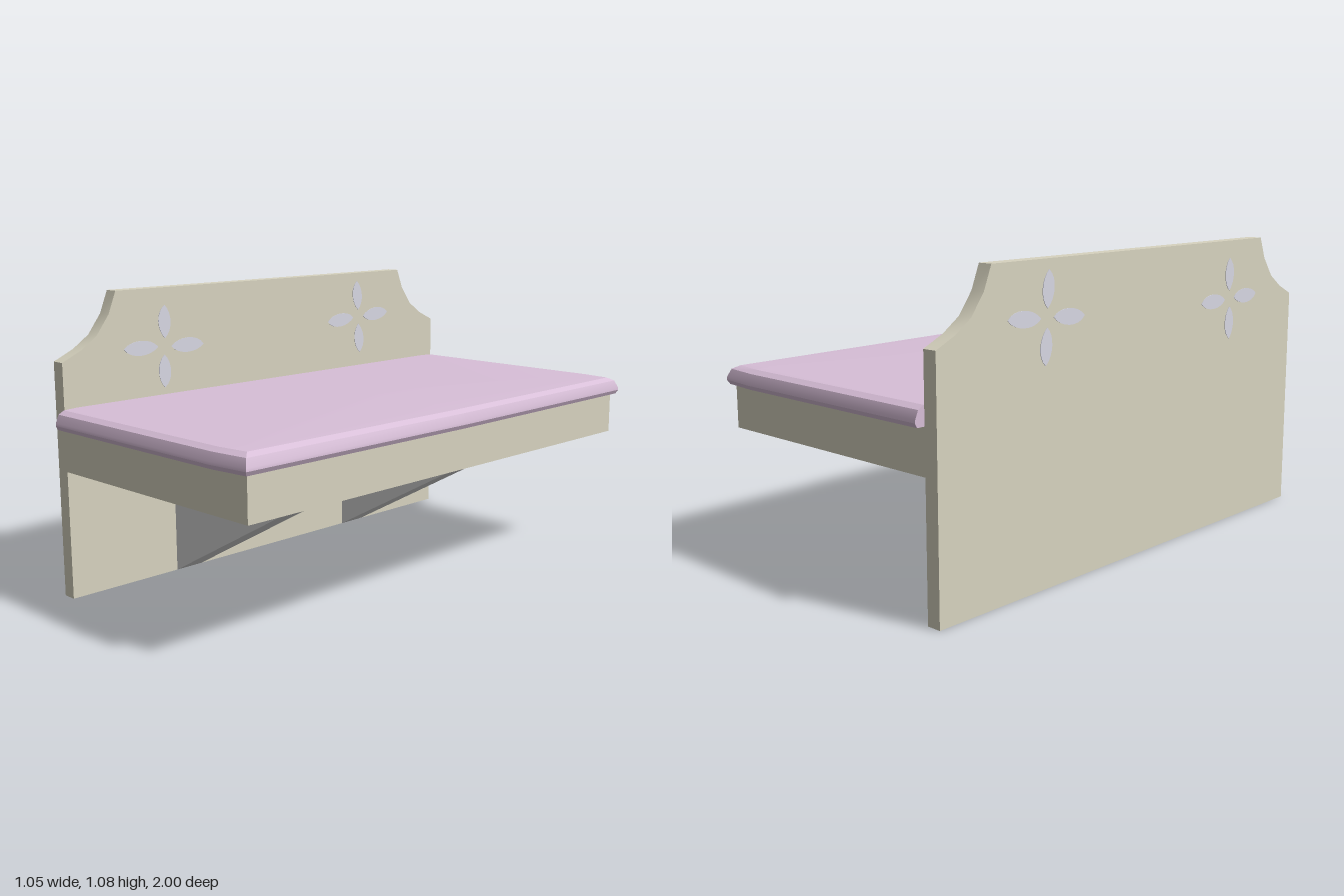
import * as THREE from 'three';
import { toCreasedNormals } from 'three/addons/utils/BufferGeometryUtils.js';

const material = (name, color, side = THREE.FrontSide) => {
  const m = new THREE.MeshStandardMaterial({ color, side });
  m.name = name;
  return m;
};

const BACK = -0.525, FACE = -0.473; // headboard back and front planes

// Extrudes a (-z, y) outline along +x, starting at x
function sideExtrude(shape, x, depth) {
  return new THREE.ExtrudeGeometry(shape, { depth, bevelEnabled: false, curveSegments: 8 })
    .rotateY(Math.PI / 2).translate(x, 0, 0);
}

// Mattress plan outline, inset on the three free edges
const plan = (i) => [
  [FACE, 1 - i], [0.36, 1 - i], [0.508 - i, 0.986 - i], [0.521 - i, 0],
  [0.508 - i, i - 0.986], [0.36, i - 1], [FACE, i - 1],
];

// Mattress: stacked outlines with a rounded rim and capped ends
function mattressGeometry() {
  const levels = [[0.617, 0.008], [0.632, 0], [0.642, 0.001], [0.67, 0.013], [0.682, 0.035], [0.685, 0.09]];
  const pos = [], index = [], n = 7;
  for (const [y, inset] of levels) for (const [x, z] of plan(inset)) pos.push(x, y, z);
  for (let l = 0; l < levels.length - 1; l++) {
    for (let i = 0; i < n; i++) {
      const a = l * n + i, b = l * n + (i + 1) % n;
      index.push(a, b, b + n, a, b + n, a + n);
    }
  }
  const top = (levels.length - 1) * n, bottomMid = levels.length * n, topMid = bottomMid + 1;
  pos.push(0, 0.617, 0, 0, 0.685, 0);
  for (let i = 0; i < n; i++) {
    const j = (i + 1) % n;
    index.push(topMid, top + i, top + j, bottomMid, j, i);
  }
  const g = new THREE.BufferGeometry();
  g.setAttribute('position', new THREE.Float32BufferAttribute(pos, 3));
  g.setIndex(index);
  return toCreasedNormals(g, 0.4);
}

// One petal, pointing away from the flower centre
function petalShape(cx, cy, angle, length) {
  const at = (r, w) => [
    cx + r * Math.cos(angle) - w * Math.sin(angle),
    cy + r * Math.sin(angle) + w * Math.cos(angle),
  ];
  const tip = 0.03 + length;
  const s = new THREE.Shape();
  s.moveTo(...at(0.03, 0));
  s.bezierCurveTo(...at(0.06, 0.035), ...at(tip - 0.03, 0.045), ...at(tip, 0.005));
  s.bezierCurveTo(...at(tip - 0.03, -0.03), ...at(0.06, -0.035), ...at(0.03, 0));
  return s;
}

export function createModel() {
  const group = new THREE.Group();
  const wood = material('cream wood', 0xd8d4c0);
  const cloth = material('pink cloth', 0xd8bfd8);
  const metal = material('grey bracket', 0xd8d8d8);
  const paint = material('lavender paint', 0xd8d8e4);
  const add = (name, geometry, mat, parent = group) => {
    const mesh = new THREE.Mesh(geometry, mat);
    mesh.name = name;
    parent.add(mesh);
    return mesh;
  };

  // Headboard with scooped upper corners
  const scoop = [[0.963, 0.846], [0.885, 0.882], [0.82, 0.927], [0.767, 0.998], [0.735, 1.078]];
  const outline = [
    [-0.963, 0], [0.963, 0], ...scoop,
    ...scoop.slice().reverse().map(([u, y]) => [-u, y]),
  ].map((p) => new THREE.Vector2(...p));
  const board = sideExtrude(new THREE.Shape(outline), BACK, FACE - BACK);
  add('headboard', toCreasedNormals(board, 0.45), wood);

  // Bed base
  const base = new THREE.BoxGeometry(0.958, 0.154, 1.926);
  add('base', base.translate(0.006, 0.54, 0), wood);

  // Mattress
  add('mattress', mattressGeometry(), cloth);

  // Triangular support brackets
  const triangle = new THREE.Shape([
    new THREE.Vector2(FACE, 0), new THREE.Vector2(0.37, 0.463), new THREE.Vector2(FACE, 0.463),
  ]);
  for (const side of [-1, 1]) {
    const g = new THREE.ExtrudeGeometry(triangle, { depth: 0.115, bevelEnabled: false });
    add(side > 0 ? 'leftBracket' : 'rightBracket', g.translate(0, 0, side * 0.446 - 0.0575), metal);
  }

  // Painted flowers on both faces of the headboard
  const flowers = new THREE.Group();
  flowers.name = 'flowers';
  group.add(flowers);
  for (const [z, y, tilt] of [[0.53, 0.862, -0.06], [-0.488, 0.892, 0.02]]) {
    const petals = [0, 1, 2, 3].map((k) =>
      petalShape(-z, y, k * Math.PI / 2 + tilt, k % 2 ? 0.122 : 0.15));
    add('frontFlower', sideExtrude(petals, FACE, 0.002), paint, flowers);
    add('backFlower', sideExtrude(petals, BACK - 0.002, 0.002), paint, flowers);
  }
  return group;
}
